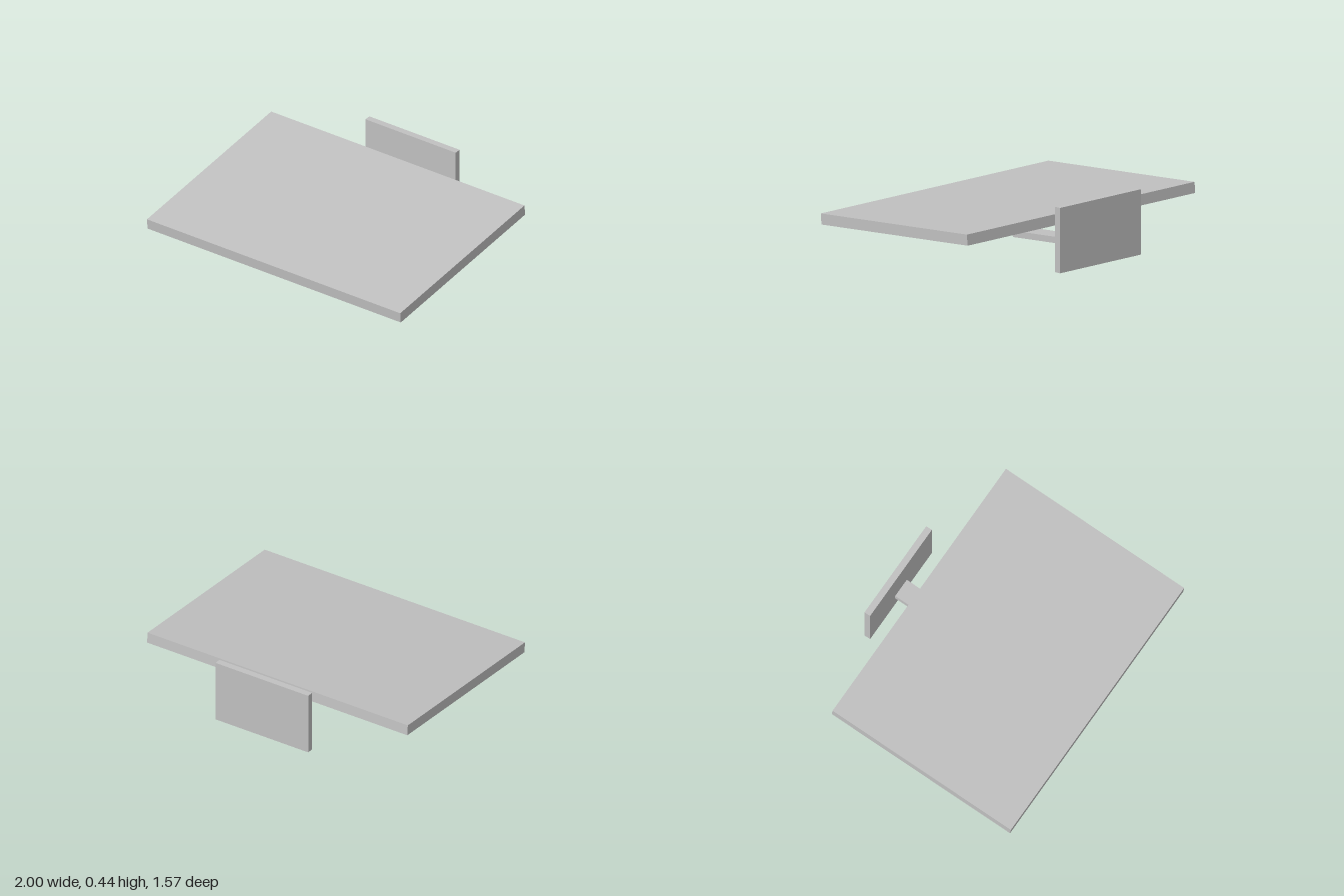
import * as THREE from 'three';

const TILT = 0.0873; // five degrees, front edge down

export function createModel() {
  const grey = new THREE.MeshStandardMaterial({ color: 0xc0c0c0 });
  grey.name = 'grey';
  const model = new THREE.Group();
  model.name = 'wallMountedPanel';

  const box = (name, parent, w, h, d, x, y, z) => {
    const mesh = new THREE.Mesh(new THREE.BoxGeometry(w, h, d), grey);
    mesh.name = name;
    mesh.position.set(x, y, z);
    parent.add(mesh);
    return mesh;
  };
  const tilted = (name, y, z) => {
    const group = new THREE.Group();
    group.name = name;
    group.position.set(0, y, z);
    group.rotation.x = TILT;
    model.add(group);
    return group;
  };

  // Flat panel
  const panel = tilted('panel', 0.239, 0.09);
  box('panelSlab', panel, 2, 0.073, 1.39, 0, 0, 0);

  // Tapered housing: a box whose lower face is drawn in
  const housing = box('taperedHousing', panel, 2, 0.12, 1.39, 0, -0.0965, 0);
  const p = housing.geometry.attributes.position;
  for (let i = 0; i < p.count; i++) {
    if (p.getY(i) < 0) p.setXYZ(i, p.getX(i) * 0.37, p.getY(i), p.getZ(i) * 0.305);
  }
  housing.geometry = housing.geometry.toNonIndexed();
  housing.geometry.computeVertexNormals();

  // Support arm: solid top with two long recesses underneath
  const arm = tilted('supportArm', 0.1005, -0.385);
  box('armTop', arm, 0.134, 0.021, 0.72, 0, 0.0105, 0);
  for (const x of [-0.058, 0, 0.058]) box('armRail', arm, 0.018, 0.021, 0.684, x, -0.0105, 0);
  for (const z of [-0.351, 0.351]) box('armEnd', arm, 0.134, 0.021, 0.018, 0, -0.0105, z);

  // Upright wall plate
  box('wallPlate', model, 0.712, 0.435, 0.044, 0, 0.2175, -0.763);

  return model;
}
